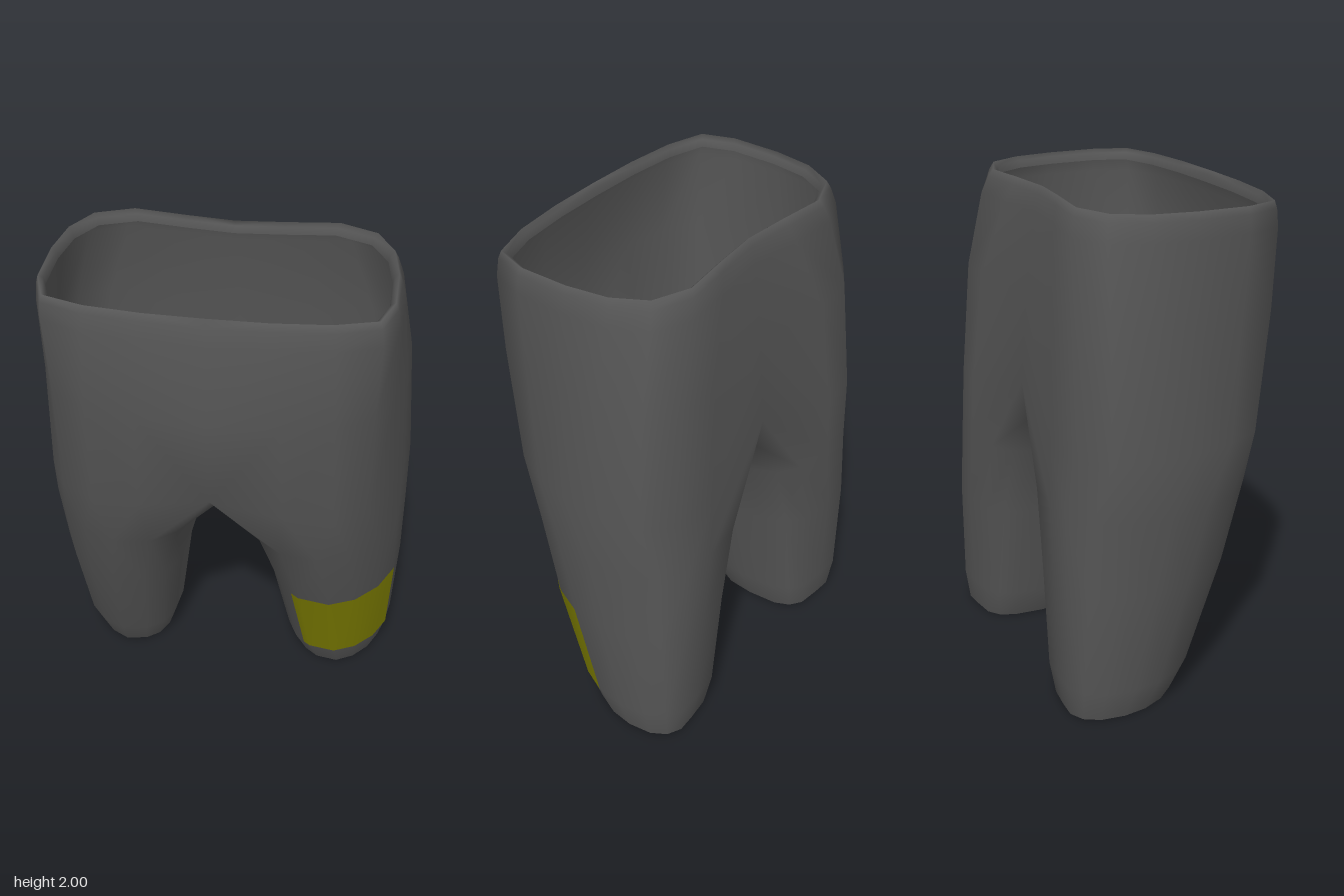
import * as THREE from 'three';
import { mergeVertices } from 'three/addons/utils/BufferGeometryUtils.js';

// Half outlines [x, z] from centre front round the side to centre back
const WAIST = [[0, 1], [.35, .99], [.68, .94], [.93, .82], [1, .5], [1, 0], [.96, -.47], [.85, -.83], [.62, -1], [.3, -.93], [0, -.88]];
const HIPS = [[0, 1], [.38, .97], [.64, .88], [.82, .7], [.92, .36], [.975, -.02], [1, -.4], [.95, -.76], [.79, -.95], [.55, -1], [0, -.88]];

// Body rows from the turned-in lip to the crotch: y, half width, front z, back z, hip blend, x shift
const BODY = [
  [1.955, .637, .398, -.338, 0, -.01],
  [1.985, .643, .403, -.343, 0, -.01],
  [2, .66, .42, -.36, 0, -.01],
  [1.97, .672, .433, -.378, .05, -.008],
  [1.9, .69, .45, -.4, .2, -.005],
  [1.58, .725, .49, -.445, .8, 0],
  [1.1, .75, .43, -.475, 1, 0],
];
// Leg rows down to the hem: y, inner x, outer x, front z, back z, x shift
const LEG = [
  [.86, .095, .745, .35, -.482, .005],
  [.55, .185, .735, .25, -.485, .013],
  [.13, .25, .705, .095, -.475, .022],
  [0, .295, .67, .025, -.455, .027],
];
const RING = 16;
const lerp = THREE.MathUtils.lerp;

function bodyRow([y, w, front, back, hip, shift], s) {
  return WAIST.map(([x, z], i) => {
    const px = lerp(x, HIPS[i][0], hip), pz = lerp(z, HIPS[i][1], hip);
    return new THREE.Vector3(s * px * w + shift, y, pz > 0 ? pz * front : -pz * back);
  });
}

// One point of a leg section, rounder in front, squarer behind and swept back on the outside;
// i counts sixteenths of a turn from the front
function legPoint([y, inner, outer, front, back, shift], i, s, grow = 0) {
  const a = (i - 5) * Math.PI / 8, c = Math.cos(a), b = Math.sin(a);
  const power = c > 0 ? (b > 0 ? .88 : 1) : (b > 0 ? .65 : .78);
  const soft = v => Math.sign(v) * Math.abs(v) ** power;
  const x = (inner + outer) / 2 + soft(c) * ((outer - inner) / 2 + grow);
  const z = (front + back) / 2 - soft(b) * ((front - back) / 2 + grow) - .055 * Math.max(c, 0);
  return new THREE.Vector3(s * x + shift, y, z);
}

// Skin a list of rows; full leg rings close on themselves
function skin(rows, s) {
  const pos = [];
  const tri = (...p) => (s > 0 ? p : p.reverse()).forEach(v => pos.push(v.x, v.y, v.z));
  for (let r = 0; r < rows.length - 1; r++) {
    const A = rows[r], B = rows[r + 1];
    const n = A.length === RING ? RING : A.length - 1;
    for (let i = 0; i < n; i++) {
      const j = (i + 1) % A.length;
      tri(A[i], B[i], A[j]);
      tri(A[j], B[i], B[j]);
    }
  }
  return pos;
}

function smoothGeometry(pos) {
  let g = new THREE.BufferGeometry();
  g.setAttribute('position', new THREE.Float32BufferAttribute(pos, 3));
  g = mergeVertices(g, 1e-4);
  g.computeVertexNormals();
  return g;
}

function trousersGeometry() {
  const pos = [];
  for (const s of [1, -1]) {
    const body = BODY.map(row => bodyRow(row, s));
    // Lift the seams at centre front and back above the crotch
    const last = body[body.length - 1];
    last[0].y += .08;
    last[1].y += .02;
    last[10].y += .12;
    // Crotch saddle joining centre back to centre front under the body
    const saddle = [1.09, 1, .97, .99, 1.06].map((y, k) => new THREE.Vector3(0, y, lerp(-.33, .3, k / 4)));
    const leg = LEG.map(row => Array.from({ length: RING }, (_, i) => legPoint(row, i, s)));
    pos.push(...skin(body, s), ...skin([[...last, ...saddle], ...leg], s));
  }
  return smoothGeometry(pos);
}

// Patch wrapped round the front and outer side of the left shin
function patchGeometry() {
  const at = [-.4, 0, 1, 2, 3, 4];
  const onFacet = (row, i) => {
    const k = Math.floor(i);
    return legPoint(row, k, 1, .004).lerp(legPoint(row, k + 1, 1, .004), i - k);
  };
  const rows = [LEG[1], LEG[2]].map(row => at.map(i => onFacet(row, i)));
  rows[0].forEach((p, i) => p.lerp(rows[1][i], .02));
  return smoothGeometry(skin(rows, 1));
}

export function createModel() {
  const model = new THREE.Group();
  model.name = 'trousers';
  const add = (name, geometry, color) => {
    const mesh = new THREE.Mesh(geometry, new THREE.MeshStandardMaterial({ color, side: THREE.DoubleSide }));
    mesh.name = name;
    model.add(mesh);
  };
  add('trouserFabric', trousersGeometry(), 0x555555);
  add('shinPatch', patchGeometry(), 0x808000);
  return model;
}
